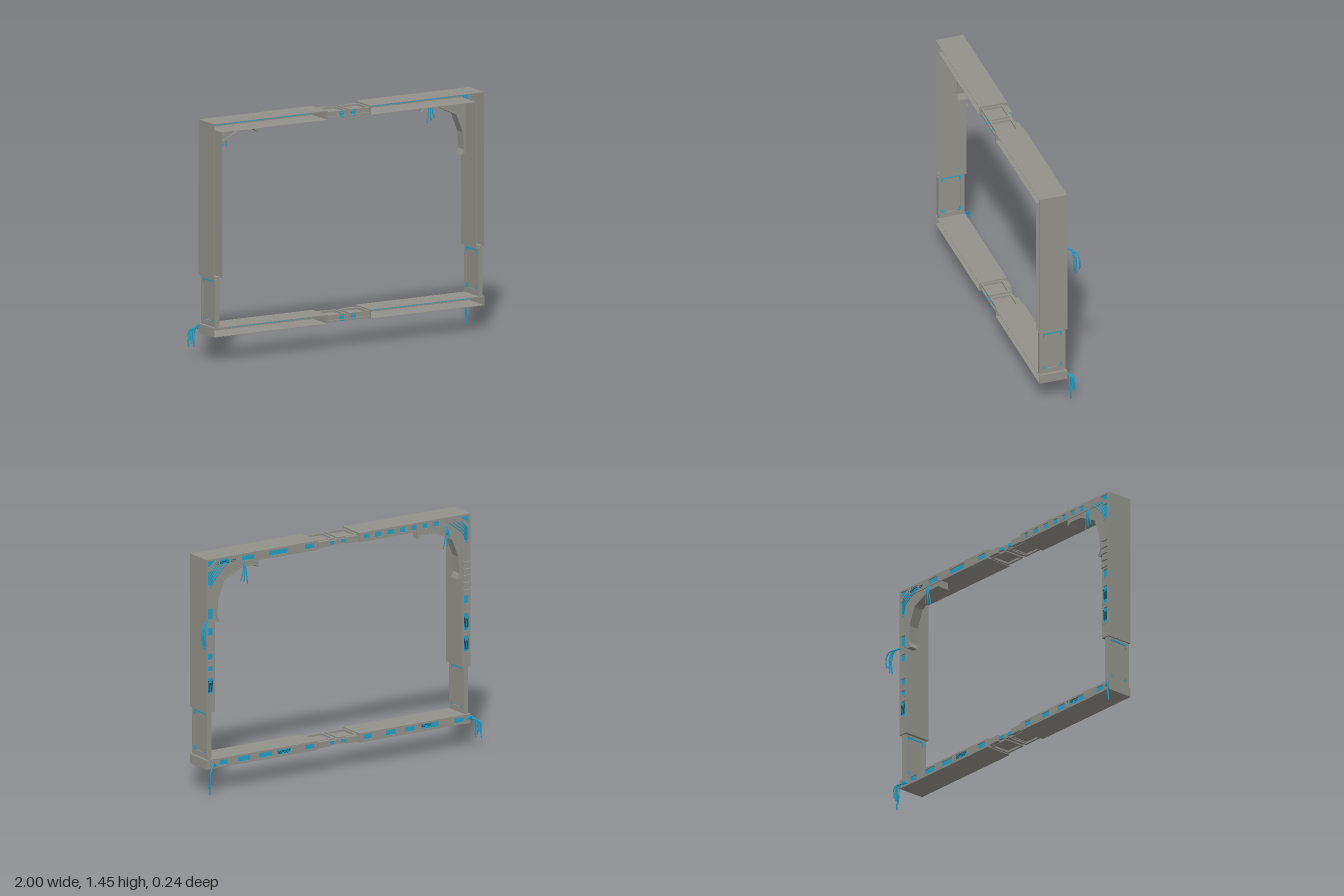
import * as THREE from 'three';

const mat = (name, color) => {
  const m = new THREE.MeshStandardMaterial({ color });
  m.name = name;
  return m;
};

export function createModel() {
  const root = new THREE.Group();
  root.name = 'hollowFrame';
  const gray = mat('warmGray', 0x92918a);
  const blue = mat('circuitBlue', 0x25a2c9);
  const dark = mat('darkTeal', 0x14586c);

  // Every half is laid out for the left (+x) side, then mirrored by s
  const X = (s, x) => s * x - 0.005;
  const BACK = -0.055, FRONT = 0.122, LOW = 0.153;

  const add = (name, geo, m) => {
    const mesh = new THREE.Mesh(geo, m);
    mesh.name = name;
    root.add(mesh);
    return mesh;
  };
  // Box given by its limits
  const box = (name, x0, x1, y0, y1, z0, z1, m, s = 1) => {
    const b = add(name, new THREE.BoxGeometry(x1 - x0, y1 - y0, z1 - z0), m);
    b.position.set(X(s, (x0 + x1) / 2), (y0 + y1) / 2, (z0 + z1) / 2);
    return b;
  };
  // Outline with holes, extruded from z0 to z1; all loops are wound the same way
  const loop = (s, list) => {
    const pts = list.map(([x, y]) => new THREE.Vector2(X(s, x), y));
    return THREE.ShapeUtils.isClockWise(pts) ? pts.reverse() : pts;
  };
  const plate = (name, s, pts, holes, z0, z1, m) => {
    const shape = new THREE.Shape(loop(s, pts));
    holes.forEach((h) => shape.holes.push(new THREE.Path(loop(s, h).reverse())));
    const g = new THREE.ExtrudeGeometry(shape, { depth: z1 - z0, bevelEnabled: false });
    g.translate(0, 0, z0);
    return add(name, g, m);
  };
  const rect = (x0, x1, y0, y1) => [[x0, y0], [x1, y0], [x1, y1], [x0, y1]];
  const cable = (name, s, pts, r = 0.0045, m = blue) => add(name, new THREE.TubeGeometry(
    new THREE.CatmullRomCurve3(pts.map(([x, y, z]) => new THREE.Vector3(X(s, x), y, z))),
    pts.length * 4, r, 5), m);

  // Outlines, inset by d
  const upper = (d) => [
    [0.945 - d, 0.505 + d], [0.945 - d, 1.455 - d], [0.15 + d, 1.455 - d],
    [0.15 + d, 1.397 + d], [0.885 + d, 1.397 + d], [0.885 + d, 0.505 + d]];
  const lower = (d) => rect(0.15 + d, 0.945 - d, LOW + d, 0.21 - d);

  // Windows: spans along the top beam, post and bottom beam on each side
  const windows = {
    1: {
      top: [[0.78, 0.85], [0.6, 0.69], [0.36, 0.5], [0.17, 0.24]],
      post: [[1.29, 1.38], [1.08, 1.15], [0.98, 1.03], [0.83, 0.87], [0.76, 0.79], [0.62, 0.72]],
      low: [[0.79, 0.85], [0.63, 0.72], [0.47, 0.57], [0.34, 0.44], [0.17, 0.24]],
    },
    '-1': {
      top: [[0.18, 0.22], [0.26, 0.31], [0.35, 0.4], [0.44, 0.48], [0.52, 0.56], [0.6, 0.64], [0.68, 0.72]],
      post: [[1.29, 1.38], [0.9, 0.95], [0.73, 0.84], [0.6, 0.7]],
      low: [[0.18, 0.24], [0.34, 0.41], [0.48, 0.55], [0.59, 0.72], [0.83, 0.9]],
    },
  };

  for (const s of [1, -1]) {
    const w = windows[s];
    // Open-fronted channels: walls, pierced back, glowing sheet behind it
    const upperHoles = [
      ...w.top.map(([a, b]) => rect(a, b, 1.41, 1.442)),
      ...w.post.map(([a, b]) => rect(0.898, 0.932, a, b)),
      [[0.933, 1.40], [0.933, 1.443], [0.87, 1.443]]];
    const lowerHoles = w.low.map(([a, b]) => rect(a, b, 0.166, 0.198));
    for (const [part, outline, holes] of [['upper', upper, upperHoles], ['lower', lower, lowerHoles]]) {
      plate(part + 'ChannelWalls', s, outline(0), [outline(0.003)], BACK, FRONT, gray);
      plate(part + 'BackPanel', s, outline(0.003), holes, BACK, BACK + 0.007, gray);
      plate(part + 'BlueSheet', s, outline(0.012), [], BACK + 0.007, BACK + 0.011, blue);
    }

    // Slightly raised sills beside the windows
    const sill = (...a) => box('windowSill', ...a, BACK - 0.002, BACK + 0.002, gray, s);
    for (const [a, b] of w.top) for (const x of [a - 0.01, b]) sill(x, x + 0.01, 1.406, 1.446);
    for (const [a, b] of w.low) for (const x of [a - 0.01, b]) sill(x, x + 0.01, 0.162, 0.202);
    for (const [a, b] of w.post) for (const y of [a - 0.01, b]) sill(0.893, 0.937, y, y + 0.01);

    // Sliding leg between the post and the bottom beam, with framed sides
    box('legCore', 0.91, 0.928, 0.2, 0.52, -0.047, 0.117, gray, s);
    for (const [x0, x1] of [[0.904, 0.91], [0.928, 0.934]]) {
      box('legFrameBack', x0, x1, 0.215, 0.52, -0.047, -0.026, gray, s);
      box('legFrameFront', x0, x1, 0.215, 0.52, 0.096, 0.117, gray, s);
      box('legFrameTop', x0, x1, 0.494, 0.52, -0.026, 0.096, gray, s);
      box('legFrameBottom', x0, x1, 0.215, 0.246, -0.026, 0.096, gray, s);
      const mid = (x0 + x1) / 2;
      const strip = (...a) => box('legGlowStrip', mid - 0.002, mid + 0.002, ...a, blue, s);
      strip(0.485, 0.494, -0.026, 0.096);
      for (const [z0, z1] of [[-0.026, -0.019], [0.089, 0.096]]) {
        strip(0.462, 0.485, z0, z1);
        strip(0.246, 0.272, z0, z1);
      }
      strip(0.246, 0.253, -0.019, -0.004);
      strip(0.246, 0.253, 0.074, 0.089);
    }

    // Corner bracket: curved web with a wider rim along the inner edge
    const curve = [[0.57, 1.352], [0.6, 1.372], [0.695, 1.368], [0.815, 1.31],
      [0.858, 1.2], [0.866, 1.095], [0.85, 1.06]];
    plate('cornerBracket', s, [[0.887, 1.06], [0.887, 1.399], [0.57, 1.399], ...curve], [], -0.05, 0.0, gray);
    const outer = curve.map(([x, y]) => [x + 0.007, y + 0.008]).reverse();
    plate('bracketRim', s, [...curve, ...outer], [], -0.053, 0.012, gray);

    // Blue leads crossing the back of the corner
    for (let i = 0; i < 4; i++) {
      const k = i * 0.028;
      cable('cornerLead', s, [[0.92, 1.27 + k, -0.052], [0.885 + k * 0.1, 1.34 + k * 0.7, -0.064],
        [0.79 + k, 1.42, -0.052]], 0.0035);
    }
    // Short leads hanging below the bracket
    const hx = s > 0 ? 0.68 : 0.77;
    for (let i = 0; i < 3; i++) {
      const dx = (i - 1) * 0.014;
      cable('bracketLead', s, [[hx, 1.41, -0.05], [hx + dx * 0.5, 1.375, -0.066],
        [hx + dx, 1.33, -0.066], [hx + dx * 1.8, 1.265 + i * 0.012, -0.062]], 0.0035);
    }
  }

  // Row of blocks on the back of the right post
  for (const y of [0.975, 1.02, 1.065, 1.105, 1.15])
    box('postBlock', 0.89, 0.94, y - 0.012, y + 0.012, BACK - 0.012, BACK + 0.002, gray, -1);

  // Gray covers inside the right half of the bottom beam
  for (const [a, b] of [[0.745, 0.855], [0.69, 0.705], [0.285, 0.298], [0.205, 0.225], [0.153, 0.18]])
    box('innerCover', a, b, 0.158, 0.207, -0.045, -0.036, gray, -1);

  // Telescoping connectors in the middle of the top and bottom beams
  for (const y of [1.397, LOW + 0.002]) {
    box('connectorNeck', -0.03, 0.03, y + 0.01, y + 0.038, -0.035, 0.1, gray);
    for (const s of [1, -1]) {
      box('connectorCore', 0.012, 0.155, y + 0.015, y + 0.035, -0.042, 0.1, gray, s);
      for (const [y0, y1] of [[y + 0.003, y + 0.015], [y + 0.035, y + 0.047]]) {
        box('connectorFrameFront', 0.01, 0.155, y0, y1, 0.098, 0.11, gray, s);
        box('connectorFrameBack', 0.01, 0.155, y0, y1, -0.03, -0.016, gray, s);
        box('connectorFrameInner', 0.01, 0.022, y0, y1, -0.016, 0.098, gray, s);
        box('connectorFrameOuter', 0.138, 0.155, y0, y1, -0.016, 0.098, gray, s);
      }
      box('connectorBackBlock', 0.06, 0.14, y + 0.006, y + 0.044, -0.054, -0.03, gray, s);
      for (const [z0, z1] of [[0.1, 0.103], [-0.045, -0.042]])
        box('connectorGlow', 0.026, 0.058, y + 0.015, y + 0.035, z0, z1, blue, s);
      for (const yb of [y + 0.004, y + 0.039])
        box('connectorGlowEdge', 0.03, 0.054, yb, yb + 0.007, 0.109, 0.112, blue, s);
    }
  }

  // Loose cables drooping from the left post
  [-0.086, -0.092, -0.098, -0.116].forEach((z, i) => {
    const x = 0.985 + (i % 2) * 0.014;
    cable('postCable', 1, [[0.93, 1.075, -0.04], [0.95, 1.077 - i * 0.002, -0.066],
      [x - 0.015, 1.06 - i * 0.004, z + 0.008], [x, 1.0, z], [x - 0.008, 0.91 + i * 0.012, z]]);
  });
  // Cables drooping from both ends of the bottom beam
  for (let i = 0; i < 4; i++) {
    const z = -0.075 - i * 0.008;
    cable('rightEndCable', -1, [[0.91, 0.18, -0.05], [0.945, 0.2 - i * 0.006, -0.064],
      [0.962 + i * 0.007, 0.165, z], [0.965 + i * 0.008, 0.11, z], [0.968 + i * 0.008, 0.065 + (i % 3) * 0.018, z]]);
    cable('leftEndCable', 1, [[0.87, 0.165, -0.05], [0.9, 0.185 - i * 0.005, -0.064],
      [0.925 + i * 0.005, 0.15, z], [0.93 + i * 0.005, 0.1, z], [0.941, i === 1 ? 0.001 : 0.04 + i * 0.01, z]]);
  }

  // Tangled wires inside and behind some windows
  const tangle = (s, x, y, w, h, z) => {
    for (let k = 0; k < 2; k++) {
      const pts = [];
      for (let i = 0; i <= 5; i++)
        pts.push([x + (i / 5 - 0.5) * w, y + Math.sin(i * 2.3 + k * 2) * h / 2, z]);
      cable('tangledWire', s, pts, 0.002, dark);
    }
  };
  for (const z of [-0.04, BACK]) {
    tangle(1, 0.8, 1.424, 0.13, 0.018, z);
    tangle(-1, 0.62, 0.19, 0.09, 0.018, z);
  }
  tangle(1, 0.39, 0.183, 0.09, 0.022, BACK);
  for (const [s, y] of [[1, 0.67], [-1, 0.785], [-1, 0.65]]) tangle(s, 0.915, y, 0.03, 0.08, BACK);

  return root;
}
